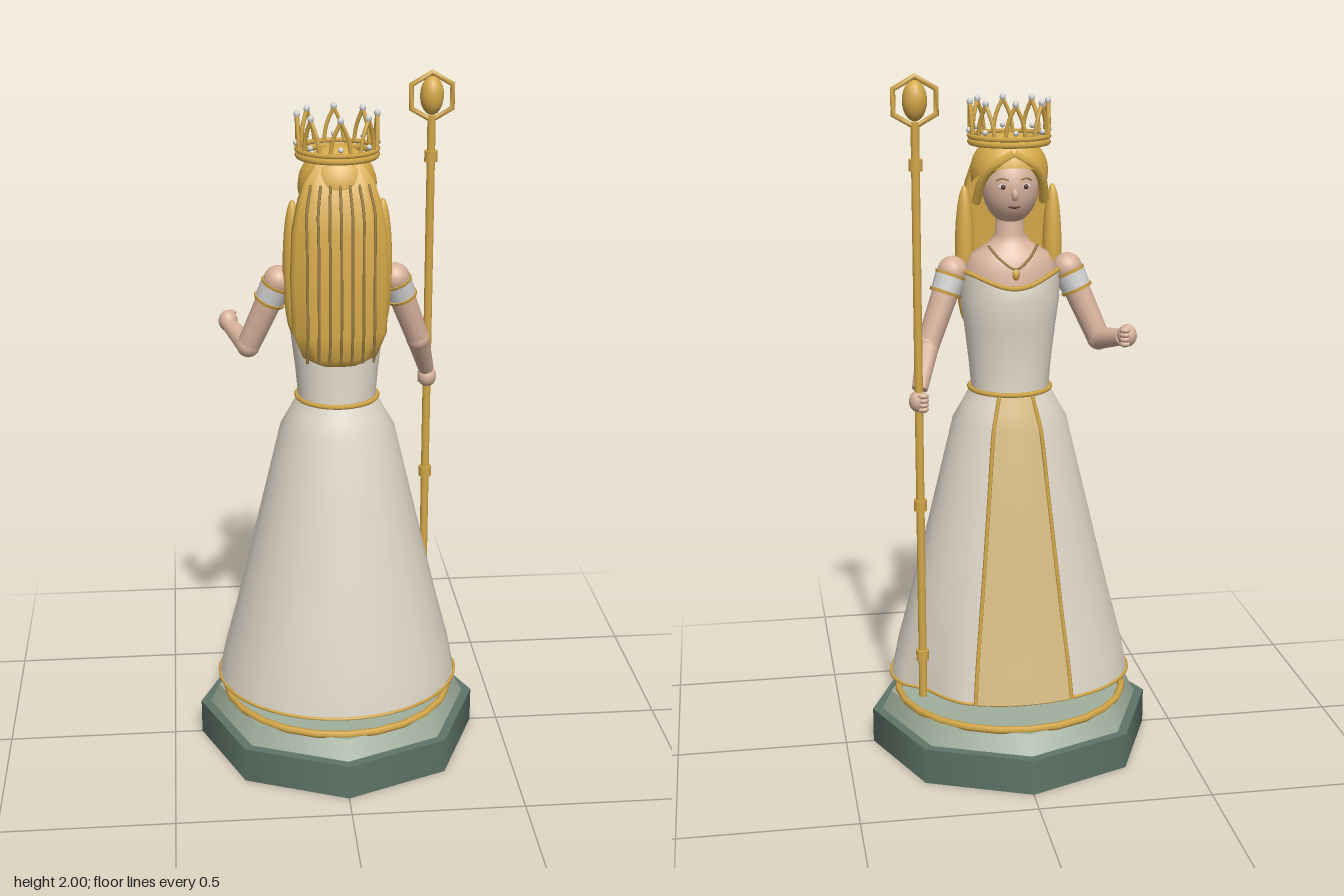
import * as THREE from 'three';
import { mergeVertices } from 'three/addons/utils/BufferGeometryUtils.js';

const mat = (name, color, double) => {
  const m = new THREE.MeshStandardMaterial({ color });
  m.name = name;
  if (double) m.side = THREE.DoubleSide;
  return m;
};
const V = (x, y, z) => new THREE.Vector3(x, y, z);

export function createModel() {
  const M = {
    plinth: mat('dark green stone', 0x5f7468),
    step: mat('pale green stone', 0x9fae9c),
    gold: mat('gold', 0xd3a748),
    hair: mat('golden hair', 0xd7aa48, true),
    strand: mat('dark hair strand', 0x9c8048),
    dress: mat('ivory cloth', 0xded6c8, true),
    panel: mat('tan gold cloth', 0xd6bc82, true),
    skin: mat('skin', 0xd8b29c),
    pearl: mat('pearl grey', 0xd2d3d2, true),
    dark: mat('dark brown', 0x5a3530),
  };
  const model = new THREE.Group();
  const add = (name, geo, m, pos, scale) => {
    const mesh = new THREE.Mesh(geo, m);
    mesh.name = name;
    if (pos) mesh.position.copy(pos);
    if (scale) mesh.scale.set(...scale);
    model.add(mesh);
    return mesh;
  };
  const ball = (name, m, pos, sx, sy = sx, sz = sx, seg = 16) =>
    add(name, new THREE.SphereGeometry(1, seg, Math.ceil(seg * 0.7)), m, pos, [sx, sy, sz]);
  const tube = (name, pts, r, m, closed = false, segs = 24) =>
    add(name, new THREE.TubeGeometry(new THREE.CatmullRomCurve3(pts, closed), segs, r, 6, closed), m);
  const limb = (name, a, b, ra, rb, m, sides = 12) => {
    const mesh = add(name, new THREE.CylinderGeometry(rb, ra, a.distanceTo(b), sides), m,
      a.clone().lerp(b, 0.5));
    mesh.quaternion.setFromUnitVectors(V(0, 1, 0), b.clone().sub(a).normalize());
    return mesh;
  };
  const ring = (name, r, t, m, pos) =>
    add(name, new THREE.TorusGeometry(r, t, 6, 24).rotateX(Math.PI / 2), m, pos);

  // Rows run upwards: [y, half width, front depth, back depth]; angle 0 is the face side (-z)
  const oval = (grow = 0) => ([y, w, f, b], a) => {
    const c = Math.cos(a);
    return V((w + grow) * Math.sin(a), y, -c * ((c > 0 ? f : b) + grow));
  };
  const loft = (rows, point, segs, a0 = -Math.PI, a1 = Math.PI) => {
    const pos = [], idx = [];
    rows.forEach((row, i) => {
      for (let j = 0; j <= segs; j++) {
        pos.push(...point(row, a0 + ((a1 - a0) * j) / segs).toArray());
        if (i && j) {
          const d = i * (segs + 1) + j, c = d - 1, b = d - segs - 1, a = b - 1;
          idx.push(a, c, b, b, c, d);
        }
      }
    });
    let g = new THREE.BufferGeometry();
    g.setAttribute('position', new THREE.Float32BufferAttribute(pos, 3));
    g.setIndex(idx);
    g = mergeVertices(g, 1e-5);
    g.computeVertexNormals();
    return g;
  };
  const loop = (n, fn) => Array.from({ length: n }, (_, i) => fn((i / n) * Math.PI * 2));

  // Octagonal base with gold ring
  add('plinth', new THREE.CylinderGeometry(0.417, 0.417, 0.105, 8), M.plinth, V(0, 0.0525, 0));
  add('step', new THREE.CylinderGeometry(0.36, 0.388, 0.055, 8), M.step, V(0, 0.1325, 0));
  ring('baseRing', 0.338, 0.011, M.gold, V(0, 0.165, 0));

  // Skirt, with a dent beside the staff
  const skirtRows = [[0.21, 0.358, 0.265, 0.326], [0.3, 0.34, 0.25, 0.312], [0.45, 0.3, 0.222, 0.28],
    [0.6, 0.263, 0.2, 0.245], [0.8, 0.215, 0.168, 0.2], [1.0, 0.167, 0.135, 0.152],
    [1.05, 0.138, 0.12, 0.132], [1.095, 0.114, 0.108, 0.115]];
  const skirtPoint = (grow) => (row, a) => {
    const p = oval(grow)(row, a);
    const low = Math.max(0, 1 - (row[0] - 0.21) / 0.35);
    const k = 1 - 0.14 * low * Math.exp(-(((a - 0.99) / 0.3) ** 2));
    return p.multiply(V(k, 1, k));
  };
  add('skirt', loft(skirtRows, skirtPoint(0), 24), M.dress);
  add('frontPanel', loft(skirtRows, skirtPoint(0.005), 6, -0.4, 0.4), M.panel);
  for (const s of [-0.4, 0.4])
    tube('panelTrim', skirtRows.map((r) => skirtPoint(0.005)(r, s)), 0.006, M.gold);
  tube('hemTrim', loop(24, (a) => skirtPoint(0)(skirtRows[0], a - Math.PI)), 0.005, M.gold, true, 72);
  ring('belt', 0.117, 0.007, M.gold, V(0, 1.095, 0));
  for (const s of [-1, 1]) ball('shoe', M.pearl, V(s * 0.088, 0.183, -0.08), 0.042, 0.02, 0.08);

  // Bodice with a neckline that dips in front
  const bodiceRows = [[1.09, 0.112, 0.106, 0.112], [1.18, 0.12, 0.1, 0.105], [1.28, 0.132, 0.11, 0.105],
    [1.36, 0.143, 0.118, 0.1], [1.44, 0.142, 0.108, 0.09]];
  const bodicePoint = (row, a) => {
    const p = oval()(row, a);
    if (row[0] > 1.4) p.y -= 0.04 * Math.max(0, Math.cos(a)) ** 4;
    return p;
  };
  add('bodice', loft(bodiceRows, bodicePoint, 24), M.dress);
  tube('necklineTrim', loop(24, (a) => bodicePoint(bodiceRows[4], a)), 0.007, M.gold, true, 72);

  // Chest, neck and necklace
  add('chest', loft([[1.36, 0.132, 0.1, 0.085], [1.44, 0.136, 0.098, 0.082], [1.485, 0.11, 0.075, 0.07],
    [1.515, 0.06, 0.048, 0.05], [1.54, 0.042, 0.04, 0.042], [1.62, 0.038, 0.036, 0.04]], oval(), 20), M.skin);
  tube('necklace', [V(-0.07, 1.515, -0.055), V(-0.04, 1.48, -0.088), V(0, 1.455, -0.105),
    V(0.04, 1.48, -0.088), V(0.07, 1.515, -0.055)], 0.004, M.strand);
  ball('pendant', M.gold, V(0, 1.44, -0.108), 0.011, 0.016, 0.008, 10);

  // Head and face
  ball('head', M.skin, V(0, 1.675, -0.008), 0.08, 0.105, 0.08, 24);
  ball('nose', M.skin, V(0, 1.66, -0.088), 0.01, 0.017, 0.012, 10);
  for (const s of [-1, 1]) {
    ball('eyeWhite', M.pearl, V(s * 0.032, 1.682, -0.08), 0.014, 0.008, 0.004, 12);
    ball('iris', M.dark, V(s * 0.032, 1.682, -0.083), 0.007, 0.007, 0.004, 10);
    tube('brow', [V(s * 0.016, 1.7, -0.084), V(s * 0.034, 1.705, -0.079), V(s * 0.05, 1.698, -0.069)],
      0.0025, M.strand, false, 8);
  }
  tube('mouth', [V(-0.016, 1.627, -0.074), V(0, 1.623, -0.077), V(0.016, 1.627, -0.074)], 0.0035, M.dark, false, 8);

  // Hair: cap, fringe, side locks and long squarish back fall with loose strands
  add('hairCap', new THREE.SphereGeometry(1, 24, 14, 0, Math.PI * 2, 0, Math.PI * 0.58).rotateX(0.45),
    M.hair, V(0, 1.712, 0.01), [0.11, 0.11, 0.1]);
  for (const s of [-1, 1]) {
    tube('fringe', [V(0, 1.77, -0.068), V(s * 0.045, 1.745, -0.07), V(s * 0.08, 1.705, -0.045),
      V(s * 0.097, 1.63, -0.005)], 0.014, M.hair, false, 12);
    ball('sideLock', M.hair, V(s * 0.126, 1.48, 0.022), 0.028, 0.195, 0.03);
  }
  const hairRows = [[1.205, 0.002, 0.002, 0.002], [1.215, 0.06, 0.025, 0.045], [1.24, 0.105, 0.035, 0.067],
    [1.31, 0.133, 0.035, 0.08], [1.46, 0.138, 0.035, 0.076], [1.6, 0.132, 0.045, 0.07],
    [1.68, 0.115, 0.055, 0.052], [1.74, 0.095, 0.06, 0.03], [1.79, 0.06, 0.06, 0.002]];
  const hairPoint = ([y, w, f, b], a) => {
    const s = Math.sin(a), c = Math.cos(a), k = 1 + 0.025 * Math.cos(10 * a);
    return V(k * w * Math.sign(s) * Math.abs(s) ** 0.8, y,
      0.07 - k * (c > 0 ? f : b) * Math.sign(c) * Math.abs(c) ** 0.7);
  };
  add('backHair', loft(hairRows, hairPoint, 40), M.hair);
  for (let i = -3; i <= 3; i++) {
    const x = i * 0.031, bow = 0.012 * Math.abs(x / 0.093) ** 2;
    tube('hairStrand', [[1.73, 0.105], [1.66, 0.138], [1.58, 0.15], [1.46, 0.155], [1.33, 0.156], [1.23, 0.135]]
      .map(([y, z]) => V(x * (y > 1.7 ? 0.85 : 1), y, z - bow)), 0.004, M.strand);
  }

  // Crown with eight peaks tipped by pearls
  const crownAt = (a, y, r = 0.11) => V(r * Math.sin(a), y, 0.01 + r * Math.cos(a));
  ring('crownBand', 0.109, 0.009, M.gold, V(0, 1.797, 0.01));
  ring('crownRim', 0.112, 0.007, M.gold, V(0, 1.813, 0.01));
  loop(8, (a) => {
    for (const s of [-0.26, 0.26])
      tube('crownPeak', [crownAt(a + s, 1.813), crownAt(a + s * 0.7, 1.86), crownAt(a, 1.905)],
        0.006, M.gold, false, 6);
    ball('crownPearl', M.pearl, crownAt(a, 1.908), 0.009, 0.011, 0.009, 10);
    ball('crownStud', M.pearl, crownAt(a, 1.83, 0.113), 0.008, 0.008, 0.008, 10);
  });

  // Arms: shoulder, elbow, wrist, hand, with banded sleeves
  for (const [sh, el, wr, hand] of [
    [V(0.165, 1.437, -0.006), V(0.24, 1.24, -0.045), V(0.275, 1.125, -0.115), V(0.28, 1.095, -0.132)],
    [V(-0.165, 1.437, -0.006), V(-0.252, 1.235, -0.04), V(-0.298, 1.26, -0.145), V(-0.305, 1.27, -0.17)]]) {
    ball('shoulder', M.skin, sh, 0.043);
    limb('upperArm', sh, el, 0.04, 0.033, M.skin);
    ball('elbow', M.skin, el, 0.034);
    limb('forearm', el, wr, 0.033, 0.023, M.skin);
    ball('hand', M.skin, hand, 0.028, 0.032, 0.028);
    for (let i = 0; i < 4; i++)
      ball('finger', M.skin, hand.clone().add(V(Math.sign(hand.x) * -0.01, -0.02 + i * 0.013, -0.02)),
        0.016, 0.009, 0.012, 8);
    const p = (t) => sh.clone().lerp(el, t);
    limb('sleeve', p(0.06), p(0.3), 0.045, 0.042, M.pearl);
    for (const t of [0.06, 0.3]) limb('sleeveTrim', p(t - 0.02), p(t + 0.02), 0.047, 0.045, M.gold);
  }

  // Staff with collars, hexagonal hoop and gem
  const sx = 0.28, sz = -0.135;
  limb('staff', V(sx, 0.2, sz), V(sx, 1.87, sz), 0.012, 0.012, M.gold, 10);
  for (const y of [0.33, 0.79, 1.755])
    limb('staffCollar', V(sx, y - 0.016, sz), V(sx, y + 0.016, sz), 0.019, 0.019, M.gold, 10);
  add('staffHoop', new THREE.TorusGeometry(0.067, 0.008, 6, 6).rotateZ(Math.PI / 6), M.gold, V(sx, 1.924, sz));
  ball('staffGem', M.gold, V(sx, 1.927, sz), 0.034, 0.055, 0.034);
  return model;
}
